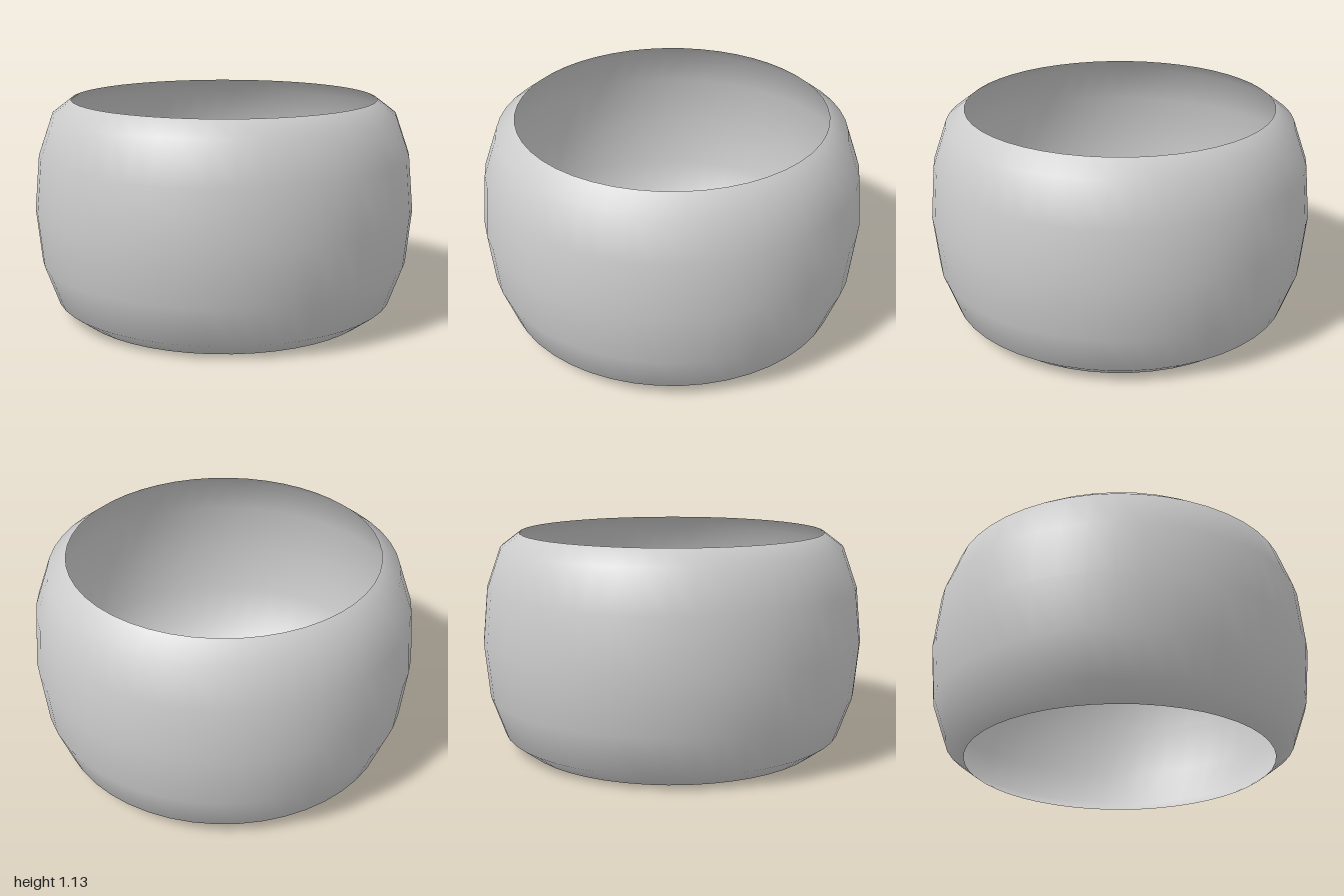
import * as THREE from 'three';

export function createModel() {
  const group = new THREE.Group();
  group.name = 'ring';

  // Half-ellipse profile bulging outward from the two open rims
  const rimRadius = 0.8, bulge = 0.2, halfHeight = 0.565, steps = 6;
  const profile = [];
  for (let i = 0; i <= steps; i++) {
    const a = -Math.PI / 2 + (i / steps) * Math.PI;
    profile.push(new THREE.Vector2(rimRadius + bulge * Math.cos(a), halfHeight * (1 + Math.sin(a))));
  }

  // Thin open band, visible from inside and outside
  const band = new THREE.Mesh(
    new THREE.LatheGeometry(profile, 48),
    new THREE.MeshStandardMaterial({ color: 0xcccccc, side: THREE.DoubleSide })
  );
  band.name = 'band';
  group.add(band);
  return group;
}
